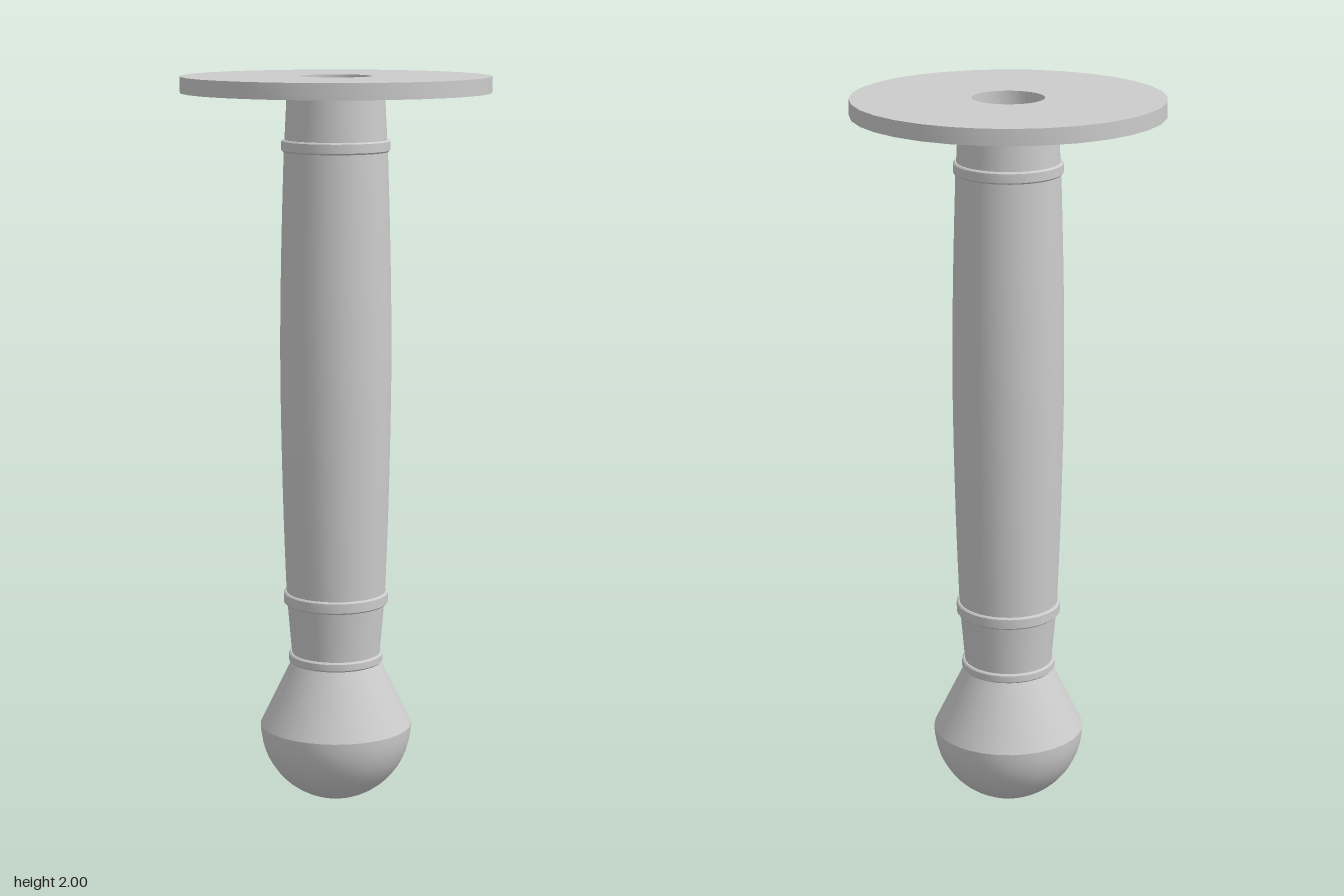
import * as THREE from 'three';
import { toCreasedNormals } from 'three/addons/utils/BufferGeometryUtils.js';

const SEGMENTS = 32;

export function createModel() {
  const group = new THREE.Group();
  const grey = new THREE.MeshStandardMaterial({ color: 0xcccccc, side: THREE.DoubleSide });
  grey.name = 'plain grey';

  // Turned part from [radius, height] points listed from bottom to top
  function turned(name, points, creased = false) {
    const profile = points.map(([r, y]) => new THREE.Vector2(r, y));
    let geometry = new THREE.LatheGeometry(profile, SEGMENTS);
    if (creased) geometry = toCreasedNormals(geometry, 0.6);
    const mesh = new THREE.Mesh(geometry, grey);
    mesh.name = name;
    group.add(mesh);
  }

  // Raised band with slightly softened corners
  function band(name, inner, outer, y0, y1) {
    const b = 0.004;
    turned(name, [
      [inner, y0], [outer - b, y0], [outer, y0 + b],
      [outer, y1 - b], [outer - b, y1], [inner, y1],
    ], true);
  }

  // Round end: half ball below, cone above
  const ball = [];
  for (let i = 0; i <= 14; i++) {
    const a = (i / 14) * Math.PI / 2;
    ball.push([0.21 * Math.sin(a), 0.213 - 0.213 * Math.cos(a)]);
  }
  turned('pommelBall', ball);
  turned('pommelCone', [[0.21, 0.213], [0.122, 0.395]]);

  // Lower neck and its bands
  band('lowerBand', 0.118, 0.13, 0.392, 0.418);
  turned('lowerNeck', [[0.122, 0.395], [0.122, 0.418], [0.134, 0.56]]);
  band('middleBand', 0.13, 0.144, 0.558, 0.592);

  // Gently swelling grip
  const curve = new THREE.SplineCurve([
    [0.135, 0.56], [0.145, 0.85], [0.151, 1.2], [0.148, 1.5], [0.139, 1.82],
  ].map(([r, y]) => new THREE.Vector2(r, y)));
  turned('grip', curve.getPoints(20).map(p => [p.x, p.y]));

  // Upper band and neck
  band('upperBand', 0.134, 0.146, 1.8, 1.832);
  turned('upperNeck', [[0.138, 1.82], [0.131, 1.957]]);

  // Flat disc with a round hole
  turned('disc', [
    [0.096, 2], [0.096, 1.957], [0.416, 1.957], [0.416, 2], [0.096, 2],
  ], true);

  return group;
}
